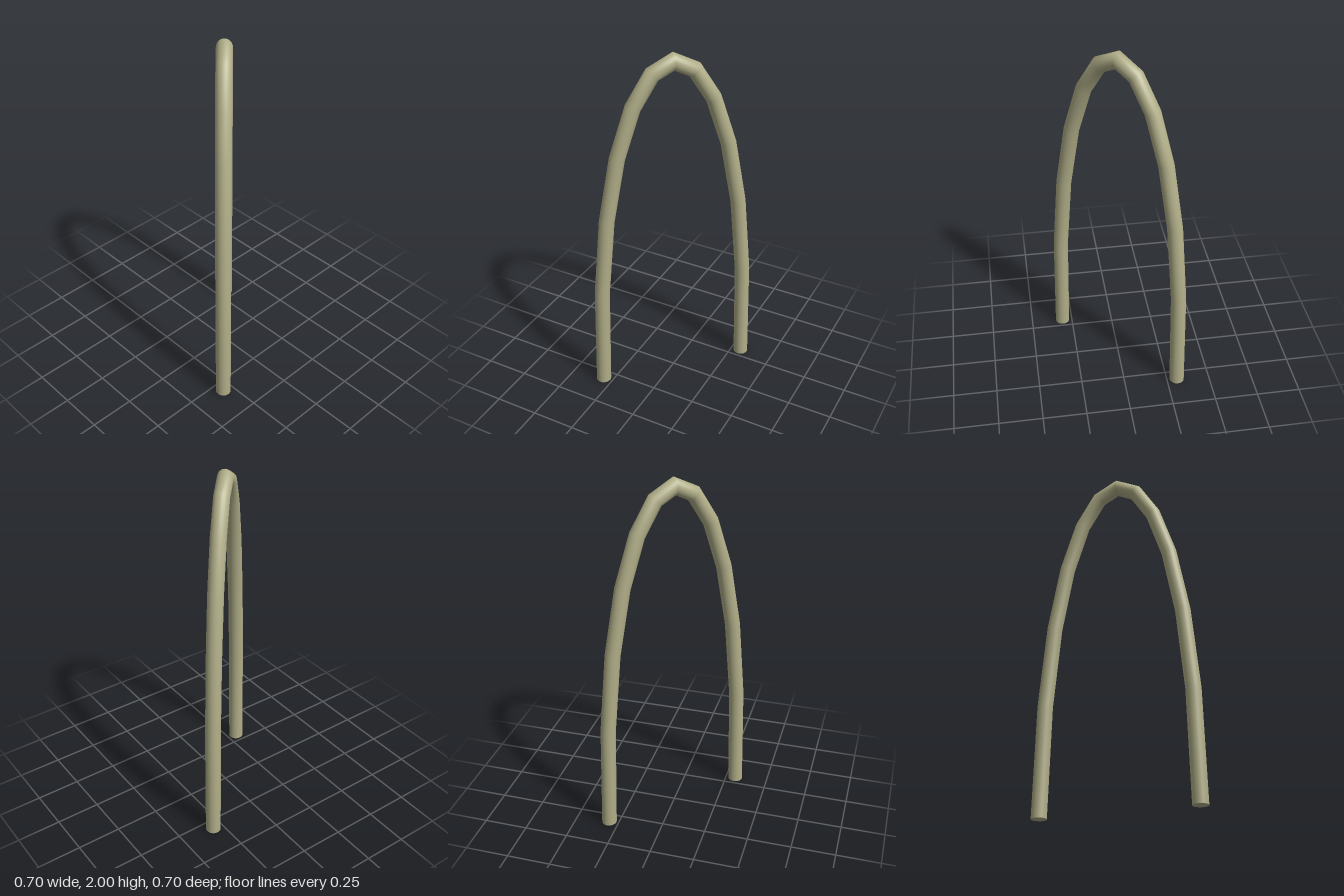
import * as THREE from 'three';

const SEGMENTS = 12, SIDES = 24;
const RADIUS = 0.0425, HALF_SPAN = 0.435, HEIGHT = 1.953;

// Centre line of the arch, a slightly squared half ellipse standing on y = 0
function archPoint(i) {
  const a = Math.PI * (1 - i / SEGMENTS);
  return new THREE.Vector2(HALF_SPAN * Math.cos(a), HEIGHT * Math.pow(Math.max(Math.sin(a), 0), 0.85));
}

// Mitred cross-section at each joint: centre, outward direction and stretch
function archRings() {
  const rings = [];
  for (let i = 0; i <= SEGMENTS; i++) {
    const c = archPoint(i);
    const up = new THREE.Vector2(0, 1), down = new THREE.Vector2(0, -1);
    const before = i > 0 ? c.clone().sub(archPoint(i - 1)).normalize() : up;
    const after = i < SEGMENTS ? archPoint(i + 1).sub(c).normalize() : down;
    const t = i === 0 ? up : i === SEGMENTS ? down : before.clone().add(after).normalize();
    const stretch = i % SEGMENTS === 0 ? 1 : 1 / t.dot(before);
    rings.push({ c, t, n: new THREE.Vector2(t.y, -t.x), stretch });
  }
  return rings;
}

export function createModel() {
  const group = new THREE.Group();
  group.name = 'arch';

  // Bend a capped cylinder along the centre line
  const geo = new THREE.CylinderGeometry(1, 1, 1, SIDES, SEGMENTS);
  const pos = geo.attributes.position, nor = geo.attributes.normal;
  const rings = archRings();
  for (let k = 0; k < pos.count; k++) {
    const { c, t, n, stretch } = rings[Math.round((pos.getY(k) + 0.5) * SEGMENTS)];
    const off = pos.getX(k) * RADIUS * stretch;
    pos.setXYZ(k, c.x + n.x * off, c.y + n.y * off, pos.getZ(k) * RADIUS);
    const nx = nor.getX(k), ny = nor.getY(k);
    nor.setXYZ(k, n.x * nx + t.x * ny, n.y * nx + t.y * ny, nor.getZ(k));
  }

  const pipe = new THREE.Mesh(geo, new THREE.MeshStandardMaterial({ color: 0xb0ae88 }));
  pipe.name = 'archPipe';
  // The arch stands on the diagonal
  pipe.rotation.y = -Math.atan2(0.306, 0.3085);
  group.add(pipe);
  return group;
}
